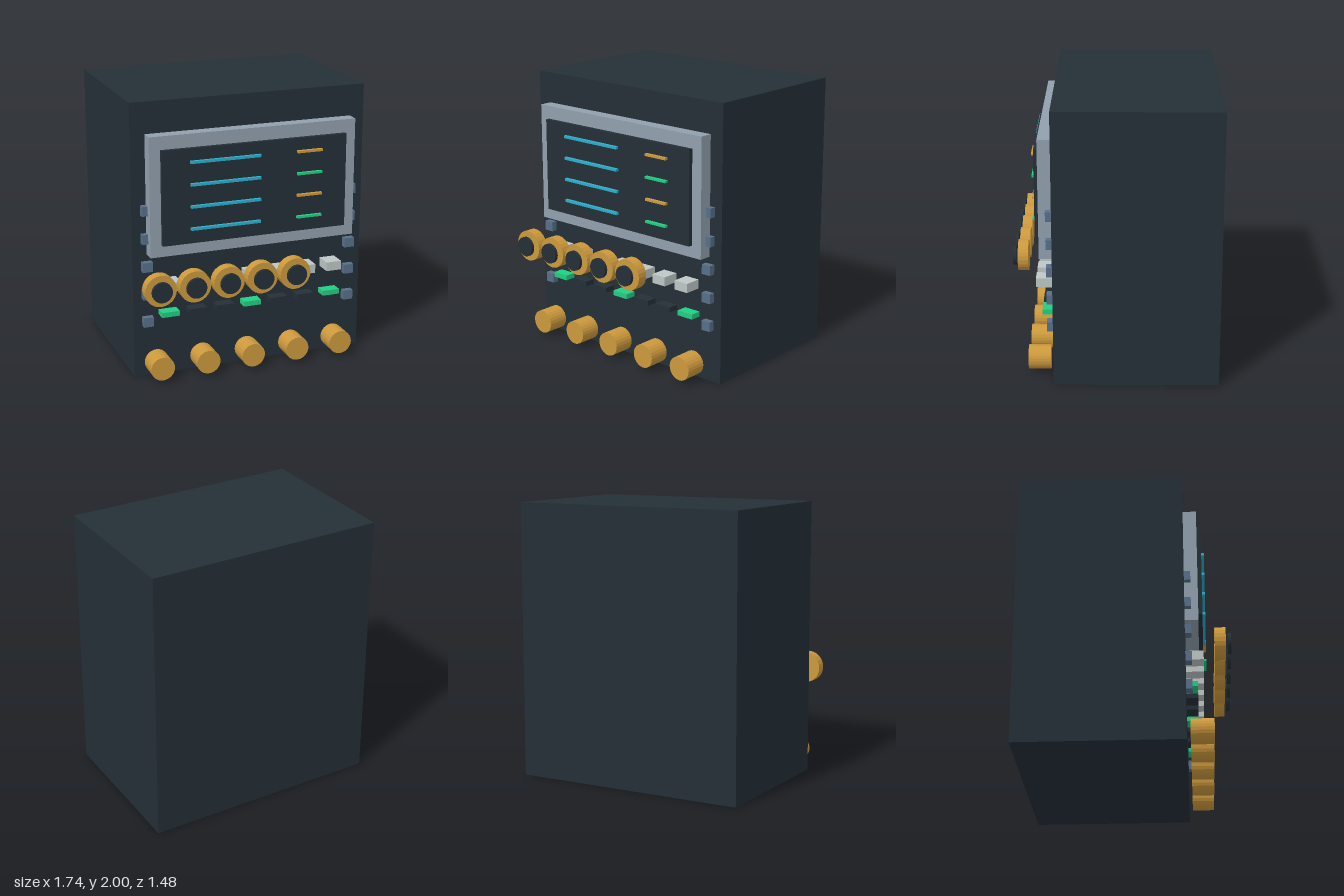
import * as THREE from 'three';

const material = (name, color) => {
  const m = new THREE.MeshStandardMaterial({ color });
  m.name = name;
  return m;
};

export function createModel() {
  const dark = material('darkCasing', 0x242f37);
  const steel = material('paleSteel', 0x91a0ae);
  const slate = material('slateBolt', 0x586f88);
  const brass = material('brass', 0xcc993c);
  const cyan = material('cyanLight', 0x2cb0cc);
  const green = material('greenLight', 0x22cf82);
  const white = material('whiteKey', 0xbec6c6);
  brass.flatShading = true;

  const model = new THREE.Group();
  model.name = 'controlCabinet';

  // Box centred on (x, y), running from z0 to z1
  const box = (name, mat, x, y, w, h, z0, z1) => {
    const mesh = new THREE.Mesh(new THREE.BoxGeometry(w, h, z1 - z0), mat);
    mesh.position.set(x, y, (z0 + z1) / 2);
    mesh.name = name;
    model.add(mesh);
  };

  // Cylinder facing the front, running from z0 to z1
  const disc = (name, mat, x, y, r, z0, z1) => {
    const geometry = new THREE.CylinderGeometry(r, r, z1 - z0, 24).rotateX(Math.PI / 2);
    const mesh = new THREE.Mesh(geometry, mat);
    mesh.position.set(x, y, (z0 + z1) / 2);
    mesh.name = name;
    model.add(mesh);
  };

  // Cabinet and display
  box('cabinet', dark, 0, 1, 1.74, 2, -0.74, 0.425);
  box('screenFrame', steel, 0, 1.345, 1.53, 0.86, 0.425, 0.52);
  box('screen', dark, 0, 1.34, 1.37, 0.68, 0.5, 0.55);

  // Readout lines on the display
  [1.585, 1.425, 1.267, 1.107].forEach((y, i) => {
    box('readoutLine', cyan, -0.225, y, 0.515, 0.019, 0.55, 0.572);
    box('statusLine', i % 2 ? green : brass, 0.4, y, 0.187, 0.017, 0.553, 0.577);
  });

  // Bolts down both edges
  for (let i = 0; i < 5; i++) {
    for (const side of [-1, 1]) {
      box('bolt', slate, side * 0.77, 1.24 - i * 0.205, 0.074, 0.07, 0.425, 0.47);
    }
  }

  // Row of dials with dark caps
  for (let i = 0; i < 5; i++) {
    const x = -0.75 + i * 0.249;
    disc('dial', brass, x, 0.734, 0.114, 0.625, 0.7);
    disc('dialCap', dark, x, 0.734, 0.073, 0.713, 0.737);
  }

  // White keys and indicator keys
  for (let i = -3; i <= 3; i++) {
    box('key', white, i * 0.204, 0.694, 0.114, 0.066, 0.425, 0.55);
    box('indicatorKey', i % 3 === 0 ? green : dark, i * 0.2055 - 0.003, 0.474, 0.13, 0.037, 0.425, 0.507);
  }

  // Bottom row of knobs
  for (let i = 0; i < 5; i++) {
    disc('knob', brass, -0.715 + i * 0.3415, 0.113, 0.087, 0.45, 0.61);
  }

  return model;
}
